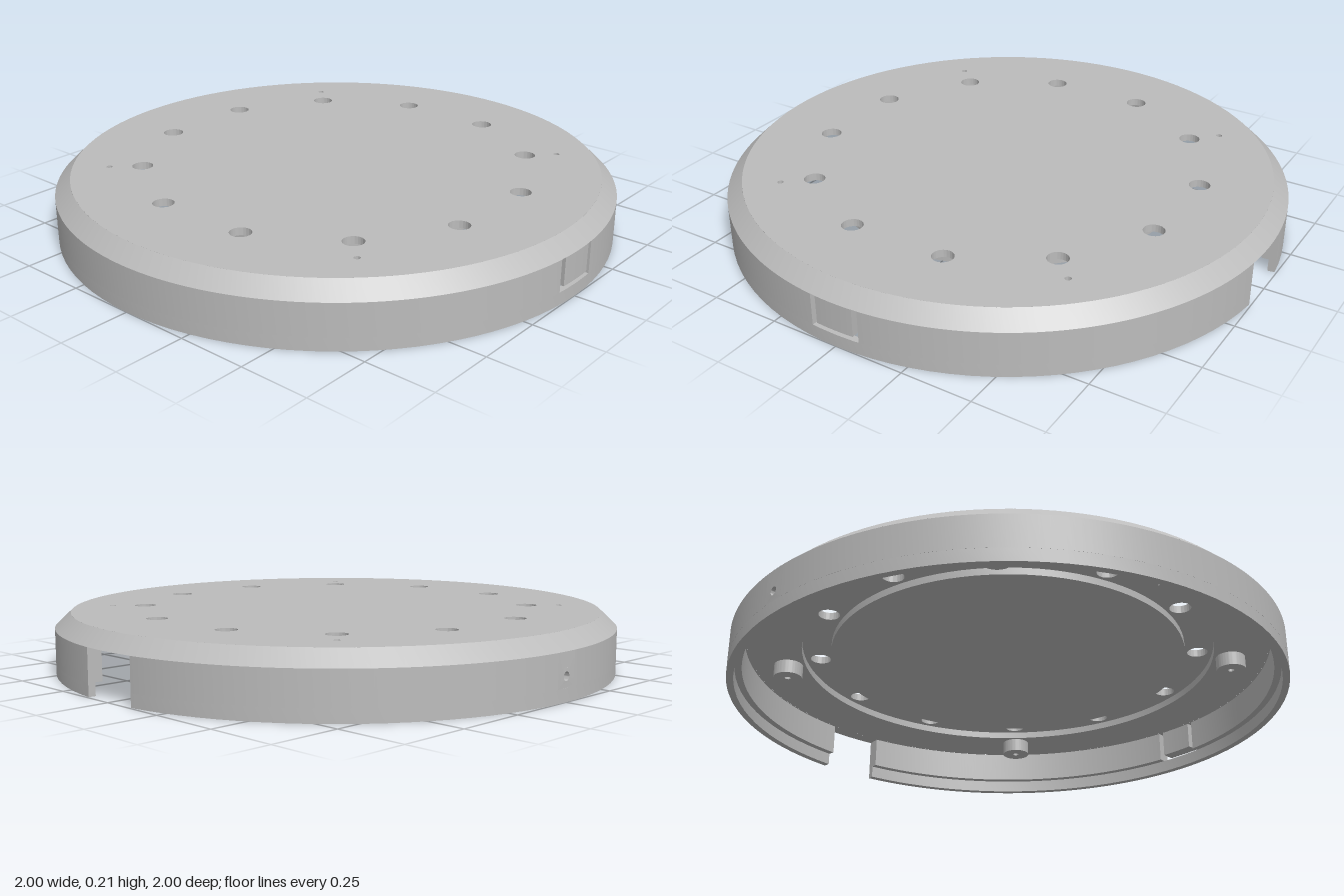
import * as THREE from 'three';
import { toCreasedNormals } from 'three/addons/utils/BufferGeometryUtils.js';

const RAD = Math.PI / 180;
const TAU = Math.PI * 2;

// circular hole or outline path
const circle = (Type, x, y, r) => {
  const p = new Type();
  p.absarc(x, y, r, 0, TAU, false);
  return p;
};

// extrude a plan shape upward from y0 to y1
function slab(shape, y0, y1) {
  const g = new THREE.ExtrudeGeometry(shape, { depth: y1 - y0, bevelEnabled: false, curveSegments: 48 });
  g.rotateX(-Math.PI / 2);
  g.translate(0, y0, 0);
  return toCreasedNormals(g, 0.5);
}

// curved wall piece between two angles (degrees, 0 = +x, 90 = back)
function arcWall(r0, r1, a0, a1, y0, y1) {
  const s = new THREE.Shape();
  s.absarc(0, 0, r1, a0 * RAD, a1 * RAD, false);
  s.absarc(0, 0, r0, a1 * RAD, a0 * RAD, true);
  s.closePath();
  return slab(s, y0, y1);
}

export function createModel() {
  const model = new THREE.Group();
  const grey = new THREE.MeshStandardMaterial({ color: 0xbcbcbc });
  grey.name = 'plain grey';
  const add = (name, geometry) => {
    const m = new THREE.Mesh(geometry, grey);
    m.name = name;
    model.add(m);
    return m;
  };

  const LIP = 0.045, CEIL = 0.16, GROOVE = 0.185, TOP = 0.212;
  const RIM = 0.945, INNER = 0.95;
  const pin = 0.575;
  const pins = [[pin, pin], [-pin, pin], [-pin, -pin], [pin, -pin]];

  // top plate with twelve round holes and four pinholes
  const plate = circle(THREE.Shape, 0, 0, RIM);
  for (let i = 0; i < 12; i++) {
    const a = (15 + 30 * i) * RAD;
    plate.holes.push(circle(THREE.Path, 0.695 * Math.cos(a), 0.695 * Math.sin(a), 0.037));
  }
  for (const [x, y] of pins) plate.holes.push(circle(THREE.Path, x, y, 0.011));
  add('topPlate', slab(plate, GROOVE, TOP));

  // ceiling, split by a ring groove
  add('ceilingDisc', slab(circle(THREE.Shape, 0, 0, 0.645), CEIL, GROOVE));
  const outer = circle(THREE.Shape, 0, 0, RIM);
  outer.holes.push(circle(THREE.Path, 0, 0, 0.75));
  for (const [x, y] of pins) outer.holes.push(circle(THREE.Path, x, y, 0.011));
  add('ceilingRing', slab(outer, CEIL, GROOVE));

  // sloped edge around the top
  const edge = [[RIM, CEIL], [1, CEIL], [RIM, TOP]].map(([x, y]) => new THREE.Vector2(x, y));
  add('chamferedEdge', toCreasedNormals(new THREE.LatheGeometry(edge, 128), 0.5));

  // screw bosses under the pinholes
  for (const [x, y] of pins) {
    const boss = circle(THREE.Shape, x, y, 0.053);
    boss.holes.push(circle(THREE.Path, x, y, 0.011));
    add('screwBoss', slab(boss, 0.11, CEIL));
  }

  // side wall, open at the back, with a slotted tab on one side and a hole opposite
  const slot = 5.16, tab = 4.01, gap = 6.5, panel = 2.5;
  const spans = [
    [slot, 90 - gap],
    [90 + gap, 180 - panel],
    [180 + panel, 360 - slot],
  ];
  for (const [a0, a1] of spans) add('sideWall', arcWall(INNER, 1, a0, a1, LIP, CEIL));
  add('bottomLip', arcWall(0.975, 1, 90 + gap, 450 - gap, 0, LIP));
  add('springTab', arcWall(INNER, 1, -tab, tab, 0.06, CEIL));
  add('lipKey', arcWall(0.962, 0.976, 255, 270, 0, LIP));

  // wall panel with a small hole, bent to the wall radius
  const w = panel * RAD;
  const s = new THREE.Shape();
  s.moveTo(-w, LIP);
  s.lineTo(w, LIP);
  s.lineTo(w, CEIL);
  s.lineTo(-w, CEIL);
  s.closePath();
  s.holes.push(circle(THREE.Path, 0, 0.082, 0.015));
  const g = new THREE.ExtrudeGeometry(s, { depth: 1 - INNER, bevelEnabled: false, curveSegments: 16 });
  const p = g.attributes.position;
  for (let i = 0; i < p.count; i++) {
    const u = p.getX(i), r = INNER + p.getZ(i);
    p.setXYZ(i, -r * Math.cos(u), p.getY(i), r * Math.sin(u));
  }
  add('holePanel', toCreasedNormals(g, 0.5));

  return model;
}
